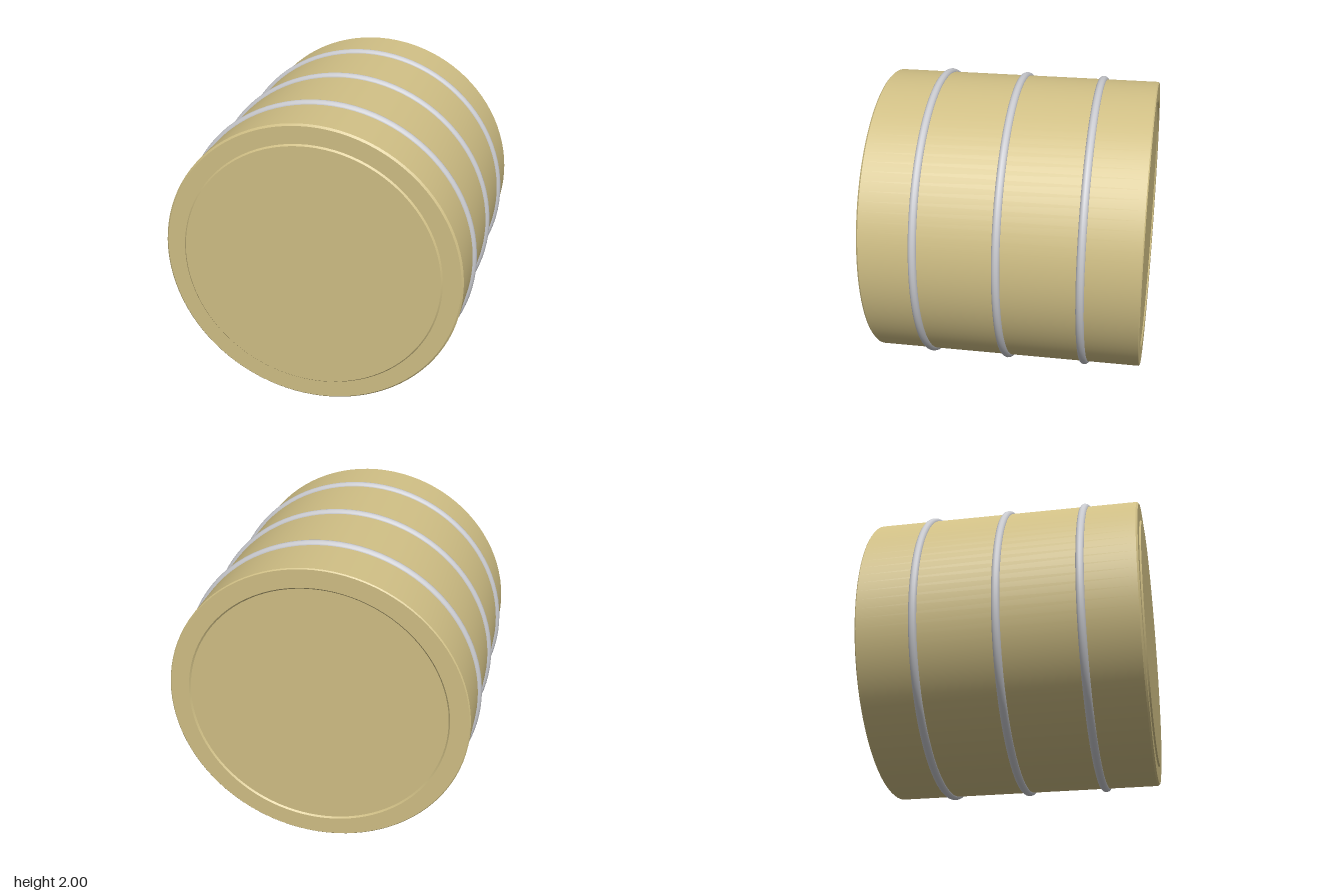
import * as THREE from 'three';
import { toCreasedNormals } from 'three/addons/utils/BufferGeometryUtils.js';

const SEGMENTS = 96;

export function createModel() {
  const tan = new THREE.MeshStandardMaterial({ color: 0xd0bf85 });
  tan.name = 'tan shell';
  const silver = new THREE.MeshStandardMaterial({ color: 0xc9cacf });
  silver.name = 'silver hoop';

  const group = new THREE.Group();
  group.name = 'drum';

  // Revolves a [radius, z] profile, back to front, around the z axis
  const revolve = (name, profile, material) => {
    const points = profile.map(([r, z]) => new THREE.Vector2(r, z));
    const geometry = new THREE.LatheGeometry(points, SEGMENTS);
    geometry.rotateX(Math.PI / 2);
    const mesh = new THREE.Mesh(toCreasedNormals(geometry, 0.4), material);
    mesh.name = name;
    mesh.position.y = 1;
    group.add(mesh);
  };

  // Shell with a shallow recessed back panel and a raised front panel
  revolve('shell', [
    [0, -0.897], [0.84, -0.897], [0.85, -0.907], [0.97, -0.907], [0.977, -0.9],
    [0.977, 0.883], [0.965, 0.895], [0.85, 0.895], [0.84, 0.906], [0, 0.906],
  ], tan);

  // Three hoops around the shell
  for (const [name, z] of [['backHoop', -0.53], ['middleHoop', 0], ['frontHoop', 0.53]]) {
    const hoop = new THREE.Mesh(new THREE.TorusGeometry(0.972, 0.028, 12, SEGMENTS), silver);
    hoop.name = name;
    hoop.position.set(0, 1, z);
    group.add(hoop);
  }

  return group;
}
